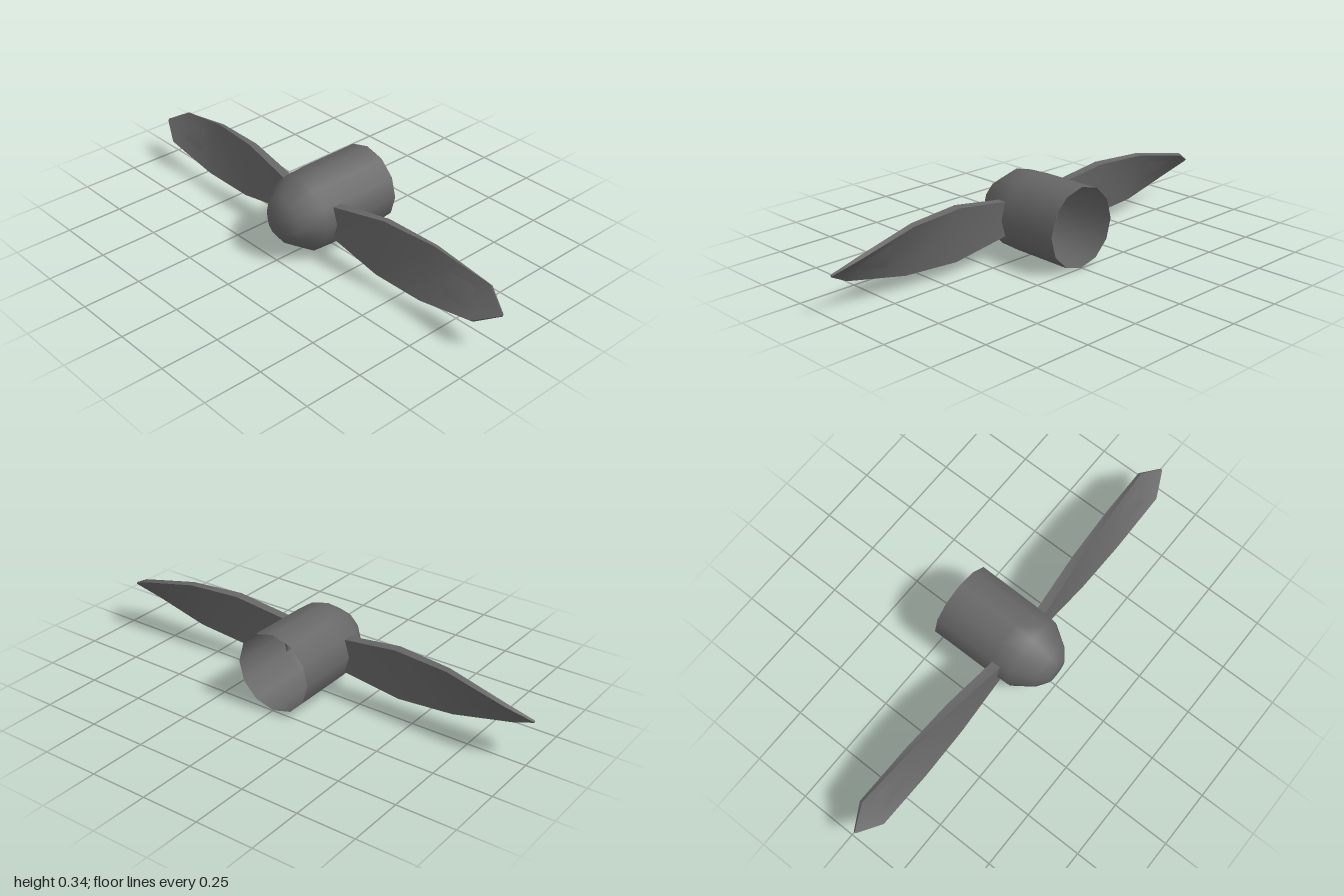
import * as THREE from 'three';
import { toCreasedNormals } from 'three/addons/utils/BufferGeometryUtils.js';

const AXIS_Y = 0.17;

// Blade stations: x, half chord, half thickness, twist angle, centre z
const STATIONS = [
  [0.145, 0.073, 0.02, 0, 0.055],
  [0.4, 0.117, 0.0175, 0.14, 0.05],
  [0.64, 0.113, 0.012, 0.29, 0.046],
  [0.9, 0.075, 0.008, 0.7, 0.041],
  [1.0, 0.004, 0.004, 0.8, 0.04],
];

// Twisted blade lofted through rectangular sections; side is +1 or -1
function bladeGeometry(side) {
  const positions = [];
  const index = [];
  const quad = (a, b, c, d) =>
    index.push(...(side > 0 ? [a, b, c, a, c, d] : [a, c, b, a, d, c]));

  for (const [x, chord, thick, twist, cz] of STATIONS) {
    const c = Math.cos(twist), s = Math.sin(twist);
    // corners: front top, rear top, rear bottom, front bottom
    for (const [u, v] of [[1, 1], [1, -1], [-1, -1], [-1, 1]]) {
      positions.push(
        side * x,
        AXIS_Y + 0.002 + u * chord * c + v * thick * s,
        cz - u * chord * s + v * thick * c,
      );
    }
  }
  const last = (STATIONS.length - 1) * 4;
  for (let r = 0; r < last; r += 4) {
    for (let k = 0; k < 4; k++) {
      const n = (k + 1) % 4;
      quad(r + k, r + 4 + k, r + 4 + n, r + n);
    }
  }
  quad(0, 1, 2, 3);
  quad(last + 3, last + 2, last + 1, last);

  const geometry = new THREE.BufferGeometry();
  geometry.setAttribute('position', new THREE.Float32BufferAttribute(positions, 3));
  geometry.setIndex(index);
  return toCreasedNormals(geometry, 0.6);
}

export function createModel() {
  const group = new THREE.Group();
  const grey = new THREE.MeshStandardMaterial({ color: 0x666666, side: THREE.DoubleSide });
  grey.name = 'dark grey';

  // Hollow hub with rounded nose, open at the rear
  const profile = [
    [0.17, -0.247], [0.168, 0.03], [0.163, 0.122],
    [0.102, 0.212], [0.053, 0.248], [0, 0.249],
  ].map(([r, z]) => new THREE.Vector2(r, z));
  const hub = new THREE.Mesh(new THREE.LatheGeometry(profile, 12), grey);
  hub.name = 'hub';
  hub.rotation.x = Math.PI / 2;
  hub.position.y = AXIS_Y;
  group.add(hub);

  // Mirrored pair of blades
  for (const side of [1, -1]) {
    const blade = new THREE.Mesh(bladeGeometry(side), grey);
    blade.name = side > 0 ? 'leftBlade' : 'rightBlade';
    group.add(blade);
  }
  return group;
}
